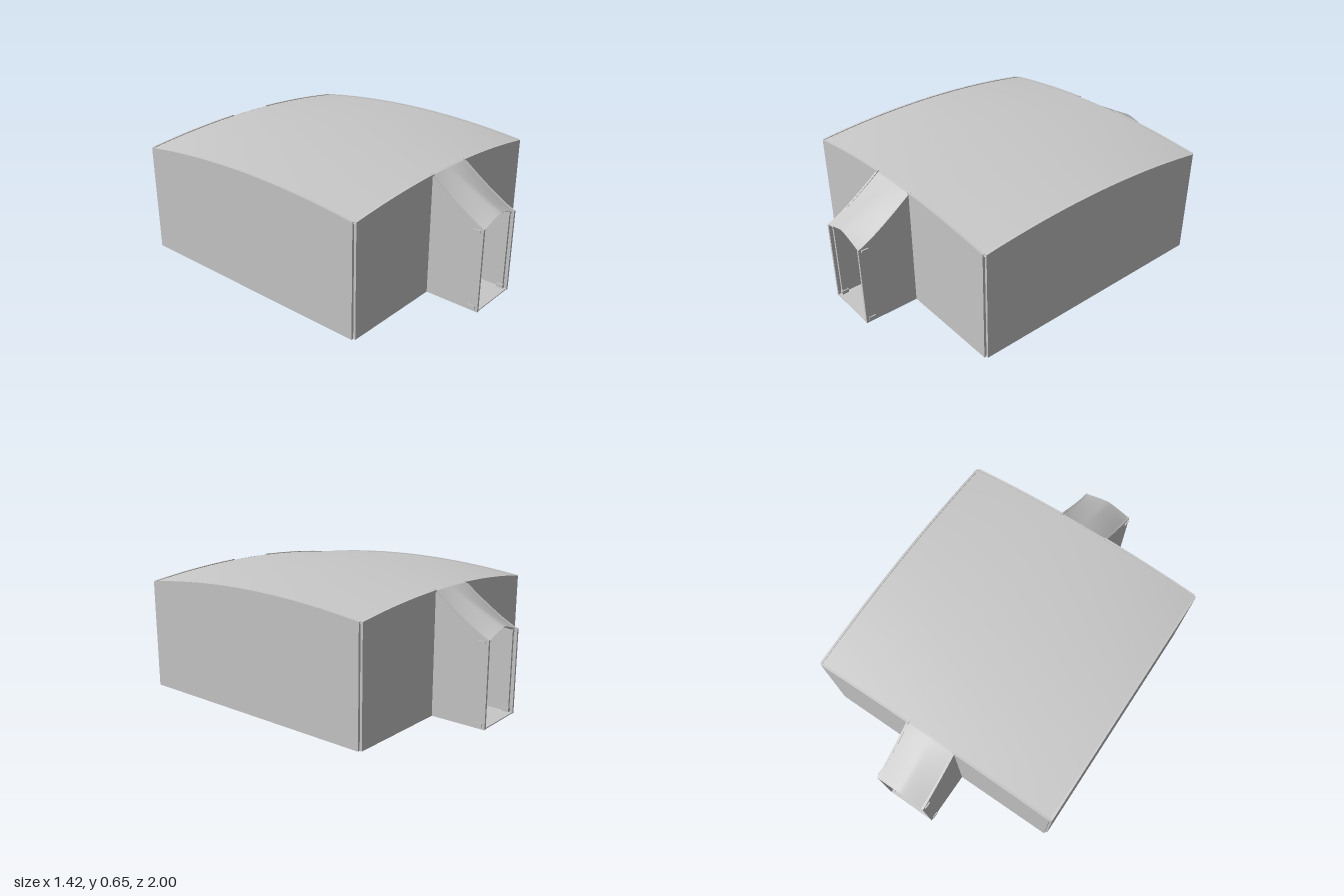
import * as THREE from 'three';

const HALF = 0.71;      // half width of the hall
const T = 0.012;        // wall thickness
const DOOR = 0.145;     // half width of the entrance passage
const END = 1.0;        // outer end of the passage
const RIM = 0.005;      // walls stand slightly above the roof skins

// Height of the shallow domed roof
function roofY(x, z) {
  const u = (x / HALF) ** 2, v = (z / HALF) ** 2;
  return 0.655 - 0.031 * u - 0.031 * v - 0.02 * u * v;
}

// Eave and ridge heights of the sloping passage roof
const down = (z) => Math.max(0, (END - z) / 0.3);
const eaveY = (z) => 0.428 + 0.195 * down(z) ** 1.2;
const ridgeY = (z) => 0.471 + 0.155 * down(z) ** 1.04;
function passageY(x, z) {
  const s = Math.min(1, Math.abs(x) / DOOR);
  return ridgeY(z) - (ridgeY(z) - eaveY(z)) * s ** 1.25;
}

export function createModel() {
  const group = new THREE.Group();
  const grey = new THREE.MeshStandardMaterial({ color: 0xc8c8c8 });
  grey.name = 'light grey';
  const greySkin = grey;
  greySkin.side = THREE.DoubleSide;

  function add(parent, name, geometry, x = 0, y = 0, z = 0) {
    const mesh = new THREE.Mesh(geometry, grey);
    mesh.name = name;
    mesh.position.set(x, y, z);
    parent.add(mesh);
    return mesh;
  }

  // Thin upright panel from a to b whose top edge follows a height rule
  function panel(a, b, top, depth = T, bottom = () => 0) {
    const n = 24, shape = new THREE.Shape();
    const at = (i) => a + ((b - a) * i) / n;
    shape.moveTo(a, bottom(a));
    for (let i = 1; i <= n; i++) shape.lineTo(at(i), bottom(at(i)));
    for (let i = n; i >= 0; i--) shape.lineTo(at(i), top(at(i)));
    return new THREE.ExtrudeGeometry(shape, { depth, bevelEnabled: false });
  }

  // Horizontal sheet lifted by a height rule
  function sheet(x0, x1, z0, z1, nx, nz, height) {
    const g = new THREE.PlaneGeometry(x1 - x0, z1 - z0, nx, nz);
    g.rotateX(-Math.PI / 2);
    g.translate((x0 + x1) / 2, 0, (z0 + z1) / 2);
    const p = g.attributes.position;
    for (let i = 0; i < p.count; i++) p.setY(i, height(p.getX(i), p.getZ(i)));
    g.computeVertexNormals();
    return g;
  }

  // Domed roof and main floor
  const r = HALF - 0.003;
  add(group, 'domedRoof', sheet(-r, r, -r, r, 32, 32, roofY));
  add(group, 'hallFloor', new THREE.BoxGeometry(1.4, 0.005, 1.4), 0, 0.0055, 0);

  // Long side walls, stopping short of the corners to leave a narrow slit
  for (const s of [-1, 1]) {
    const g = panel(-HALF + T, HALF - T, (z) => roofY(HALF, z) + RIM);
    g.rotateY(-Math.PI / 2);
    add(group, s > 0 ? 'leftWall' : 'rightWall', g, s > 0 ? HALF : -HALF + T, 0, 0);
  }

  // One entrance: end walls of the hall and the projecting passage
  function entrance(name) {
    const e = new THREE.Group();
    e.name = name;
    for (const s of [-1, 1]) {
      const a = s * (DOOR - T), b = s * (HALF - T);
      add(e, 'endWall',
        panel(Math.min(a, b), Math.max(a, b), (x) => roofY(x, HALF) + RIM), 0, 0, HALF - T);

      // Passage side wall with its sloping top
      const side = panel(HALF - T, END, (z) => eaveY(z) + RIM);
      side.rotateY(-Math.PI / 2);
      add(e, 'passageWall', side, s > 0 ? DOOR : -DOOR + T, 0, 0);

      // Door post with foot and cap
      add(e, 'doorPost', new THREE.BoxGeometry(0.014, 0.42, 0.03), s * 0.127, 0.212, 0.968);
      add(e, 'postFoot', new THREE.BoxGeometry(0.036, 0.02, 0.036), s * 0.132, 0.02, 0.968);
      add(e, 'postCap', new THREE.BoxGeometry(0.034, 0.012, 0.036), s * 0.135, 0.422, 0.968);
    }
    // Sloping passage roof, flat at the hall and pointed at the doorway
    add(e, 'passageRoof', sheet(-DOOR + 0.004, DOOR - 0.004, 0.7, END, 16, 12, passageY));
    // Arched trim under the outer edge of the roof
    add(e, 'doorArch', panel(-DOOR + T, DOOR - T, (x) => passageY(x, END) + 0.004, 0.02,
      (x) => passageY(x, END) - 0.008), 0, 0, 0.965);
    add(e, 'passageFloor', new THREE.BoxGeometry(0.27, 0.005, 0.3), 0, 0.0055, 0.85);
    group.add(e);
    return e;
  }
  entrance('frontEntrance');
  entrance('backEntrance').rotation.y = Math.PI;

  return group;
}
